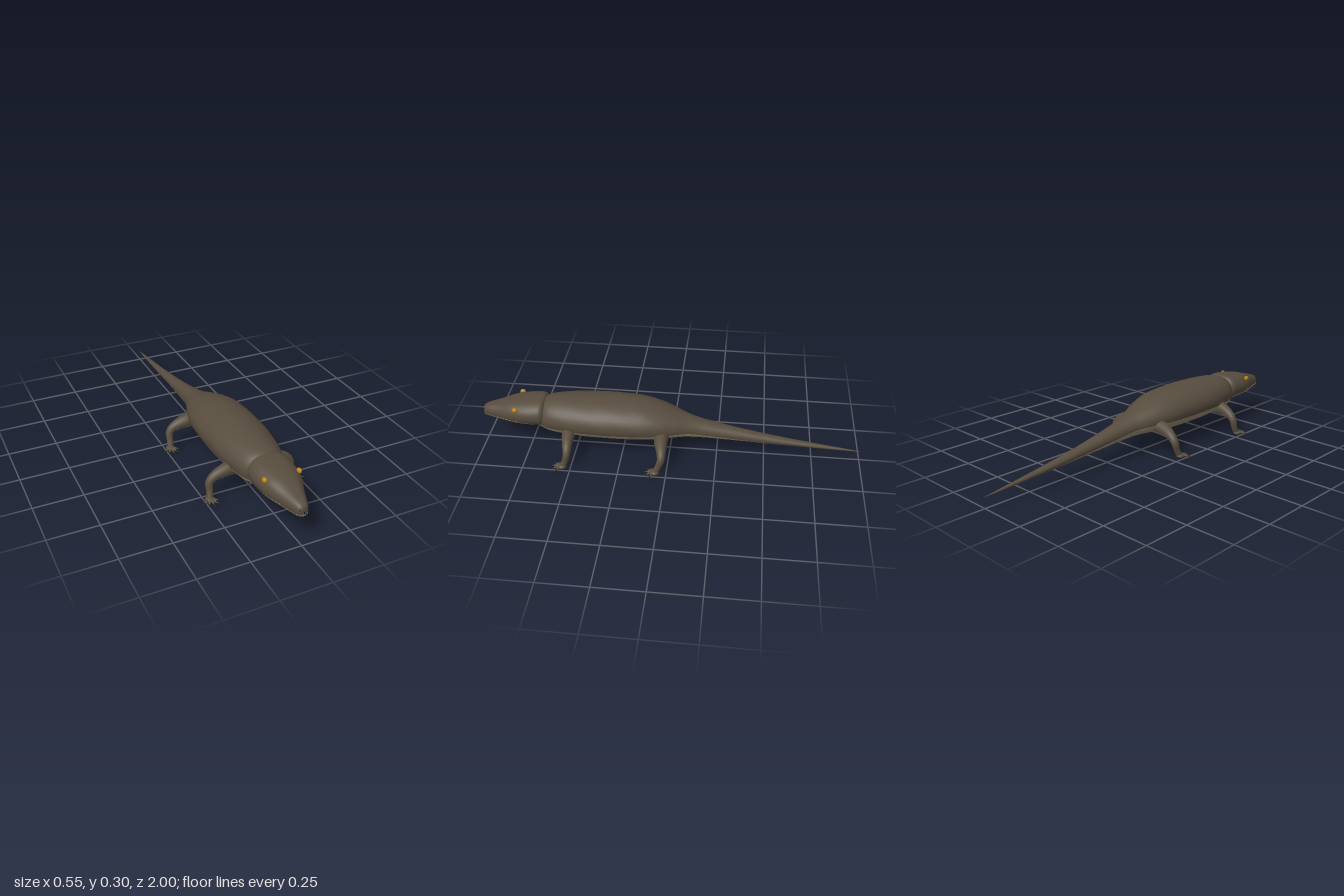
import * as THREE from 'three';

const mat = (name, color) => Object.assign(new THREE.MeshStandardMaterial({ color }), { name });

// Sampler through stations [z, halfWidth, top, bottom, colourLine]
function makeSampler(stations) {
  const a = new THREE.CatmullRomCurve3(stations.map(s => new THREE.Vector3(s[0], s[1], s[4])), false, 'catmullrom');
  const b = new THREE.CatmullRomCurve3(stations.map(s => new THREE.Vector3(s[2], s[3], 0)), false, 'catmullrom');
  return t => {
    const p = a.getPoint(t), q = b.getPoint(t);
    const mid = (q.x + q.y) / 2, h = Math.max((q.x - q.y) / 2, 0.001);
    const sin = THREE.MathUtils.clamp((p.z - mid) / h, -0.97, 0.6);
    return { z: p.x, hw: Math.max(p.y, 0.001), mid, h, split: Math.asin(sin) };
  };
}

const ringPoint = (s, angle, square) => {
  const c = Math.cos(angle);
  return [s.hw * Math.sign(c) * Math.abs(c) ** square, s.mid + s.h * Math.sin(angle), s.z];
};

// Skin along z, front to back; group 0 is the back, group 1 the underside
function skin(sampler, rings, square, bump) {
  const M = 22, N = M * 2, pos = [], upper = [], lower = [];
  for (let i = 0; i <= rings; i++) {
    const s = sampler(i / rings);
    for (let j = 0; j < N; j++) {
      const k = (j % M) / M;
      const ang = j < M
        ? s.split + k * (Math.PI - 2 * s.split)
        : Math.PI - s.split + k * (Math.PI + 2 * s.split);
      const p = ringPoint(s, ang, square);
      const f = 1 + bump * Math.sin(ang * 9 + s.z * 31) * Math.sin(s.z * 67 + ang * 4);
      pos.push(p[0] * f, s.mid + (p[1] - s.mid) * f, p[2]);
      if (i < rings) {
        const a0 = i * N + j, b0 = i * N + (j + 1) % N;
        (j < M ? upper : lower).push(a0, a0 + N, b0, b0, a0 + N, b0 + N);
      }
    }
  }
  const g = new THREE.BufferGeometry();
  g.setAttribute('position', new THREE.Float32BufferAttribute(pos, 3));
  g.setIndex([...upper, ...lower]);
  g.addGroup(0, upper.length, 0);
  g.addGroup(upper.length, lower.length, 1);
  g.computeVertexNormals();
  return g;
}

// Tube whose radius follows a list along its path
function taperedTube(points, radii, steps, sides) {
  const curve = new THREE.CatmullRomCurve3(points.map(p => new THREE.Vector3(...p)));
  const g = new THREE.TubeGeometry(curve, steps, 1, sides);
  const pos = g.attributes.position, v = new THREE.Vector3();
  for (let i = 0; i <= steps; i++) {
    const c = curve.getPointAt(i / steps);
    const f = (i / steps) * (radii.length - 1), k = Math.min(Math.floor(f), radii.length - 2);
    const r = THREE.MathUtils.lerp(radii[k], radii[k + 1], f - k);
    for (let j = 0; j <= sides; j++) {
      const n = i * (sides + 1) + j;
      v.fromBufferAttribute(pos, n).sub(c).multiplyScalar(r).add(c);
      pos.setXYZ(n, v.x, v.y, v.z);
    }
  }
  return g;
}

// Put the faces that look down near the body into the second material group
function paleUnderside(g) {
  const idx = g.index.array, nor = g.attributes.normal, pos = g.attributes.position, dark = [], pale = [];
  for (let i = 0; i < idx.length; i += 3) {
    const t = [idx[i], idx[i + 1], idx[i + 2]];
    const down = t.reduce((s, n) => s + nor.getY(n), 0) / 3 < -0.45;
    const near = Math.abs(pos.getX(t[0])) < 0.2;
    (down && near ? pale : dark).push(...t);
  }
  g.setIndex([...dark, ...pale]);
  g.clearGroups();
  g.addGroup(0, dark.length, 0);
  g.addGroup(dark.length, pale.length, 1);
  return g;
}

export function createModel() {
  const root = new THREE.Group();
  root.name = 'lizard';
  const hide = mat('brown hide', 0x574c3e);
  const belly = mat('pale belly', 0x8f866c);
  const amber = mat('amber eye', 0xb5810f);
  const claw = mat('dark claw', 0x2b2620);

  const add = (parent, name, geo, material, p = [0, 0, 0]) => {
    const m = new THREE.Mesh(geo, material);
    m.name = name;
    m.position.set(...p);
    parent.add(m);
    return m;
  };

  // Trunk and tail
  const trunk = makeSampler([
    [0.705, 0.002, 0.185, 0.165, 0.17], [0.695, 0.065, 0.235, 0.125, 0.165],
    [0.665, 0.094, 0.268, 0.107, 0.16], [0.6, 0.12, 0.288, 0.095, 0.16],
    [0.45, 0.145, 0.298, 0.09, 0.162], [0.3, 0.15, 0.3, 0.088, 0.162],
    [0.15, 0.143, 0.292, 0.09, 0.162], [0.05, 0.125, 0.27, 0.096, 0.162],
    [-0.03, 0.096, 0.242, 0.102, 0.158], [-0.1, 0.069, 0.216, 0.102, 0.15],
    [-0.2, 0.05, 0.188, 0.096, 0.132], [-0.4, 0.034, 0.146, 0.084, 0.104],
    [-0.6, 0.024, 0.111, 0.073, 0.082], [-0.8, 0.013, 0.083, 0.062, 0.063],
    [-0.93, 0.006, 0.066, 0.056, 0.056], [-1, 0.001, 0.056, 0.054, 0.054],
  ]);
  add(root, 'trunkAndTail', skin(trunk, 120, 1, 0.007), [hide, belly]);

  // Head, its rear rim standing just proud of the neck
  const headShape = makeSampler([
    [1, 0.002, 0.185, 0.168, 0.172], [0.995, 0.02, 0.205, 0.157, 0.166],
    [0.97, 0.036, 0.22, 0.149, 0.167], [0.9, 0.062, 0.24, 0.142, 0.172],
    [0.83, 0.09, 0.262, 0.139, 0.176], [0.76, 0.105, 0.274, 0.138, 0.173],
    [0.7, 0.106, 0.28, 0.138, 0.167], [0.67, 0.101, 0.279, 0.138, 0.165],
    [0.655, 0.08, 0.262, 0.145, 0.165], [0.65, 0.002, 0.21, 0.19, 0.195],
  ]);
  const head = new THREE.Group();
  head.name = 'head';
  root.add(head);
  add(head, 'skullAndJaw', skin(headShape, 60, 0.75, 0.003), [hide, belly]);

  const toothGeo = new THREE.ConeGeometry(0.0035, 0.009, 6).rotateX(Math.PI);
  for (const side of [1, -1]) {
    // Eyes and nostrils
    add(head, 'eye', new THREE.SphereGeometry(0.014, 18, 12), amber, [side * 0.087, 0.246, 0.803])
      .scale.set(0.85, 1, 1.1);
    add(head, 'nostril', new THREE.SphereGeometry(0.0045, 10, 8), claw, [side * 0.018, 0.192, 0.992]);
    // Small teeth along the lip
    for (let i = 0; i < 13; i++) {
      const s = headShape(0.13 + i * 0.03);
      const p = ringPoint(s, s.split, 0.75);
      add(head, 'tooth', toothGeo, belly, [side * p[0], p[1] - 0.002, p[2]]);
    }
  }

  // Legs with spread toes
  function leg(name, side, z, bend, thick) {
    const g = new THREE.Group();
    g.name = name;
    root.add(g);
    const X = x => side * x;
    const limb = taperedTube([
      [X(0.07), 0.15, z], [X(0.14), 0.138, z], [X(0.195), 0.113, z + bend],
      [X(0.217), 0.085, z + bend], [X(0.22), 0.045, z + 0.005], [X(0.224), 0.014, z + 0.018],
    ], [0.038, 0.036, 0.031, 0.025, 0.02, 0.017, 0.016].map((r, i) => i < 3 ? r * thick : r), 30, 18);
    add(g, 'limb', paleUnderside(limb), [hide, belly]);
    const foot = new THREE.Group();
    foot.name = 'foot';
    foot.position.set(X(0.228), 0, z + 0.025);
    g.add(foot);
    add(foot, 'palm', new THREE.SphereGeometry(1, 18, 12), hide, [0, 0.0125, 0]).scale.set(0.023, 0.0125, 0.026);
    [-62, -32, -4, 26, 60].forEach((deg, i) => {
      const a = THREE.MathUtils.degToRad(deg) * side, len = [0.03, 0.034, 0.037, 0.037, 0.034][i];
      const toe = new THREE.Group();
      toe.name = 'toe';
      toe.rotation.y = a;
      foot.add(toe);
      add(toe, 'digit', taperedTube([[0, 0.01, 0.006], [0, 0.014, len * 0.65], [0, 0.009, len + 0.005]],
        [0.0075, 0.007, 0.0055, 0.0035], 8, 10), hide);
      add(toe, 'claw', taperedTube([[0, 0.0095, len], [0, 0.0105, len + 0.01], [0, 0.005, len + 0.02]],
        [0.0042, 0.003, 0.0003], 6, 8), claw);
    });
  }
  for (const side of [1, -1]) {
    const s = side > 0 ? 'Left' : 'Right';
    leg('front' + s + 'Leg', side, 0.52, -0.004, 1);
    leg('rear' + s + 'Leg', side, 0.035, -0.008, 1.06);
  }
  return root;
}
